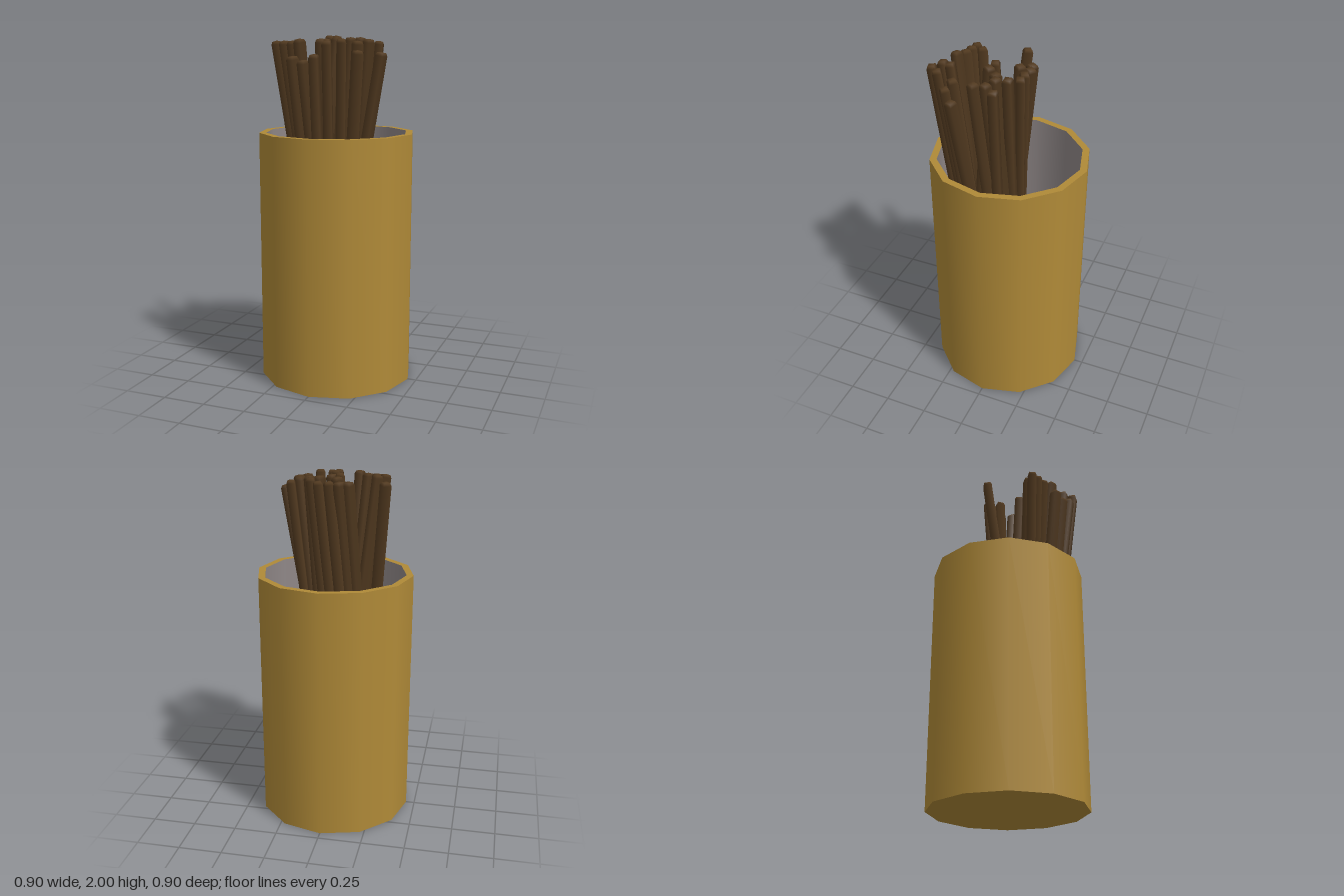
import * as THREE from 'three';

const R = 0.45, INNER = 0.41, HEIGHT = 1.455, FLOOR = 0.04, STICK = 0.034;

// One band of revolution; the order of the two points decides which way it faces
function band(name, from, to, material) {
  const points = [new THREE.Vector2(...from), new THREE.Vector2(...to)];
  const mesh = new THREE.Mesh(new THREE.LatheGeometry(points, 12), material);
  mesh.name = name;
  return mesh;
}

// Square stick with a softly tapered tip, standing on bottom and leaning to tip
function stick(bottom, tip, material) {
  const lean = tip.clone().sub(bottom);
  const length = lean.length();
  const profile = [[0, 0], [STICK, 0], [STICK, length - 0.02], [STICK * 0.75, length - 0.004], [0, length]]
    .map(([x, y]) => new THREE.Vector2(x, y));
  const mesh = new THREE.Mesh(new THREE.LatheGeometry(profile, 4, Math.PI / 4), material);
  mesh.position.copy(bottom);
  mesh.rotation.order = 'YXZ';
  mesh.rotation.y = Math.atan2(lean.x, lean.z);
  mesh.rotation.x = Math.atan2(Math.hypot(lean.x, lean.z), lean.y);
  mesh.name = 'stick';
  return mesh;
}

// Each stick: tip x, tip z, tip height, bottom x, bottom z
const STICKS = [
  [-0.28, 0.01, 1.97, -0.13, 0.22],
  [-0.09, -0.09, 1.98, -0.20, 0.13],
  [-0.04, -0.10, 1.98, -0.17, 0.11],
  [-0.02, -0.05, 2.00, -0.15, 0.11],
  [0.02, -0.09, 1.98, -0.15, 0.00],
  [0.08, -0.09, 1.98, -0.10, -0.02],
  [0.13, -0.04, 1.99, -0.06, -0.03],
  [0.25, -0.01, 1.97, 0.05, 0.02],
  [0.15, 0.02, 1.99, 0.00, -0.03],
  [0.21, 0.05, 1.98, 0.00, -0.03],
  [0.23, 0.11, 1.98, 0.03, 0.00],
  [0.10, 0.04, 1.99, -0.03, -0.03],
  [0.33, 0.19, 1.91, -0.02, 0.08],
  [-0.01, 0.09, 2.00, -0.04, 0.00],
  [0.04, 0.10, 1.99, -0.08, 0.30],
];

// The fan of sticks leaning towards the front
const FAN = [
  [-0.20, 0.25, 1.97, 0.00, 0.08],
  [-0.24, 0.30, 1.97, 0.00, 0.12],
  [-0.19, 0.31, 1.97, 0.00, 0.13],
  [-0.135, 0.32, 1.97, 0.02, 0.12],
  [-0.08, 0.35, 1.98, 0.00, 0.13],
  [-0.105, 0.39, 1.89, 0.00, 0.15],
  [-0.04, 0.40, 1.87, 0.05, 0.15],
  [0.03, 0.415, 1.90, 0.00, 0.17],
  [0.05, 0.37, 1.98, 0.03, 0.12],
  [0.06, 0.32, 1.98, 0.01, 0.10],
  [0.10, 0.41, 1.97, 0.04, 0.17],
  [0.16, 0.35, 1.98, 0.05, 0.12],
  [0.225, 0.275, 1.92, 0.06, 0.10],
  [0.21, 0.235, 1.97, 0.05, 0.08],
];

export function createModel() {
  const model = new THREE.Group();
  model.name = 'stickHolder';
  const gold = new THREE.MeshStandardMaterial({ color: 0xb08a38 });
  const grey = new THREE.MeshStandardMaterial({ color: 0x8f8787 });
  const brown = new THREE.MeshStandardMaterial({ color: 0x523a20 });

  // Twelve-sided cup
  const cup = new THREE.Group();
  cup.name = 'cup';
  cup.add(
    band('base', [0, 0], [R, 0], gold),
    band('outerWall', [R, 0], [R, HEIGHT], gold),
    band('rim', [R, HEIGHT], [INNER, HEIGHT], gold),
    band('innerWall', [INNER, HEIGHT], [INNER, FLOOR], grey),
    band('innerFloor', [INNER, FLOOR], [0, FLOOR], grey),
  );
  model.add(cup);

  // Bundle of leaning sticks
  const bundle = new THREE.Group();
  bundle.name = 'sticks';
  for (const [tx, tz, ty, bx, bz] of [...STICKS, ...FAN]) {
    bundle.add(stick(new THREE.Vector3(bx, FLOOR + 0.01, bz), new THREE.Vector3(tx, ty, tz), brown));
  }
  model.add(bundle);
  return model;
}
